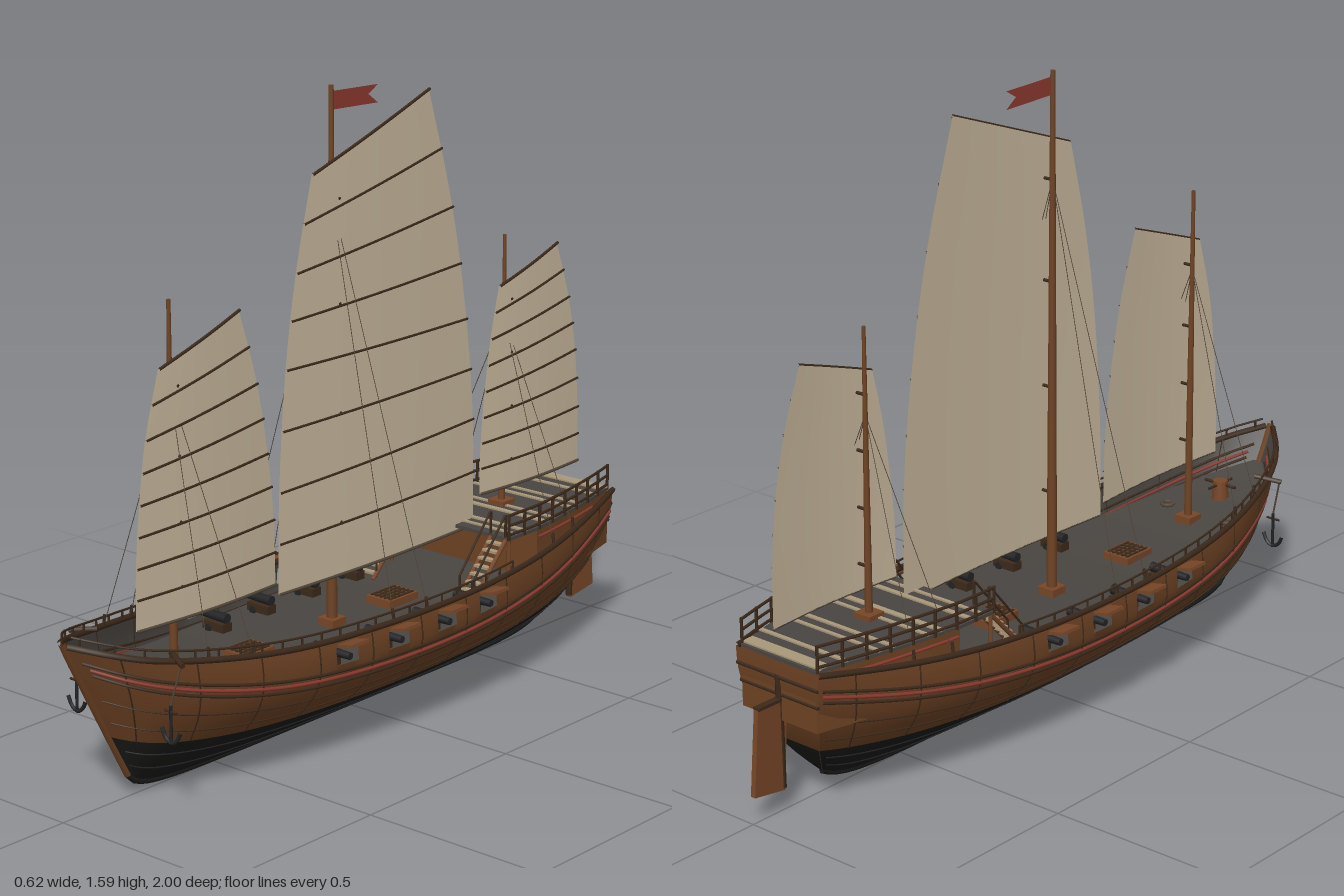
import * as THREE from 'three';

const mat = (name, color, side = THREE.FrontSide) => {
  const m = new THREE.MeshStandardMaterial({ color, side });
  m.name = name;
  return m;
};
const V = (x, y, z) => new THREE.Vector3(x, y, z);
const lerp = THREE.MathUtils.lerp;

// smooth interpolation of [x, y] pairs
function curveAt(pts, x) {
  let i = 0;
  while (i < pts.length - 2 && x > pts[i + 1][0]) i++;
  const p = k => pts[Math.min(Math.max(k, 0), pts.length - 1)];
  const slope = k => (p(k + 1)[1] - p(k - 1)[1]) / (p(k + 1)[0] - p(k - 1)[0]);
  const h = p(i + 1)[0] - p(i)[0], t = (x - p(i)[0]) / h, t2 = t * t, t3 = t2 * t;
  return (2 * t3 - 3 * t2 + 1) * p(i)[1] + (t3 - 2 * t2 + t) * h * slope(i)
    + (3 * t2 - 2 * t3) * p(i + 1)[1] + (t3 - t2) * h * slope(i + 1);
}

// hull lines: u runs from -1 (stern) to 1 (bow)
const SHEER = [[-0.91, 0.385], [-0.65, 0.35], [-0.4, 0.33], [0, 0.32], [0.4, 0.326], [0.65, 0.35], [0.85, 0.385], [0.99, 0.43]];
const BEAM = [[-0.91, 0.135], [-0.8, 0.168], [-0.6, 0.217], [-0.4, 0.25], [-0.2, 0.268], [0, 0.27], [0.2, 0.26], [0.4, 0.24], [0.6, 0.205], [0.8, 0.143], [0.9, 0.088], [0.99, 0.006]];
const SECTION = [[0, 0.02], [0.13, 0.3], [0.3, 0.59], [0.47, 0.81], [0.63, 0.95], [0.8, 1], [1, 0.97]];
const zTop = u => 0.04 + 0.95 * u;
const uOf = z => (z - 0.04) / 0.95;
const sheer = u => curveAt(SHEER, zTop(u));
const beam = u => curveAt(BEAM, zTop(u));
const keel = u => 0.01 + 0.045 * u ** 6;
const water = u => 0.115 + 0.04 * u * u + (u > 0 ? 0.015 * u ** 6 : 0);
const deckY = u => sheer(u) - 0.085;
const band = u => sheer(u) - 0.1 + 0.045 * u * u;

function hullPoint(u, y, s = 1, out = 0) {
  const v = THREE.MathUtils.clamp((y - keel(u)) / (sheer(u) - keel(u)), 0, 1);
  const full = lerp(curveAt(SECTION, v), v, u > 0 ? 0.5 * u ** 4 : 0.25 * u ** 4);
  const rake = u > 0 ? -0.2 * (1 - v) : 0.14 * (1 - v) ** 2.2;
  return V(s * (beam(u) * full + out), y, zTop(u) + rake * u ** 4);
}

// surface over a grid of points, with an optional rule for gaps
function surface(us, rows, fn, flip, skip = () => false) {
  const pos = [], idx = [], n = rows + 1;
  us.forEach(u => { for (let j = 0; j <= rows; j++) pos.push(...fn(u, j).toArray()); });
  for (let i = 0; i < us.length - 1; i++) for (let j = 0; j < rows; j++) {
    if (skip((us[i] + us[i + 1]) / 2, j)) continue;
    const a = i * n + j, b = a + 1, c = a + n, d = c + 1;
    idx.push(...(flip ? [a, c, b, b, c, d] : [a, b, c, b, d, c]));
  }
  const g = new THREE.BufferGeometry();
  g.setAttribute('position', new THREE.Float32BufferAttribute(pos, 3));
  g.setIndex(idx);
  g.computeVertexNormals();
  return g;
}

export function createModel() {
  const D = THREE.DoubleSide;
  const wood = mat('hull wood', 0x6f4324), dark = mat('dark wood', 0x3d2a1b), tar = mat('tarred bottom', 0x1c1b1a, D);
  const grey = mat('deck grey', 0x494541), tan = mat('plank tan', 0xa89779), cloth = mat('sail cloth', 0xcbbba0, D);
  const red = mat('red paint', 0x8f3a30, D), iron = mat('iron', 0x232426), light = mat('light wood', 0x784728), rope = mat('rope', 0x55483a);

  const root = new THREE.Group();
  root.name = 'sailingShip';
  const add = (name, geo, m) => {
    const o = new THREE.Mesh(geo, m);
    o.name = name;
    root.add(o);
    return o;
  };
  const box = (name, w, h, d, x, y, z, m) => {
    const o = add(name, new THREE.BoxGeometry(w, h, d), m);
    o.position.set(x, y, z);
    return o;
  };
  const rod = (name, a, b, r0, m, r1 = r0, sides = 6) => {
    const o = add(name, new THREE.CylinderGeometry(r1, r0, a.distanceTo(b), sides), m);
    o.position.copy(a).lerp(b, 0.5);
    o.quaternion.setFromUnitVectors(V(0, 1, 0), b.clone().sub(a).normalize());
  };
  const tube = (name, pts, r, m) => add(name, new THREE.TubeGeometry(new THREE.CatmullRomCurve3(pts), pts.length * 2, r, 5), m);
  const steps = (a, b, n) => Array.from({ length: n + 1 }, (_, i) => lerp(a, b, i / n));
  const line = (name, u0, u1, yFn, r, m, s, out = 0.001) =>
    tube(name, steps(u0, u1, 28).map(u => hullPoint(u, yFn(u), s, out)), r, m);

  // hull shell with open gun ports, lined in grey on the inside
  const ports = [-0.22, -0.055, 0.12, 0.295];
  const us = [...steps(-1, 1, 48), ...ports.flatMap(z => [uOf(z - 0.035), uOf(z + 0.035)])].sort((a, b) => a - b);
  const sideY = (u, j) => [water(u), lerp(water(u), sheer(u) - 0.065, 0.33), lerp(water(u), sheer(u) - 0.065, 0.67),
    sheer(u) - 0.065, sheer(u) - 0.022, sheer(u)][j];
  const lowY = (u, j) => lerp(keel(u), water(u), j / 7);
  const isPort = (u, j) => j === 3 && ports.some(z => Math.abs(zTop(u) - z) < 0.035);
  for (const s of [1, -1]) {
    const side = (u, j) => hullPoint(u, sideY(u, j), s);
    add('hullSide', surface(us, 5, side, s < 0, isPort), wood);
    add('hullLining', surface(us, 5, side, s > 0, isPort), grey);
    add('hullBottom', surface(us, 7, (u, j) => hullPoint(u, lowY(u, j), s), s < 0), tar);
    // wales, painted stripe and cap rail
    line('capRail', -1, 0.995, sheer, 0.008, dark, s);
    line('upperWale', -0.99, 0.98, u => band(u) + 0.015, 0.004, dark, s);
    line('redStripe', -0.99, 0.97, band, 0.0045, red, s);
    line('lowerWale', -0.99, 0.97, u => band(u) - 0.015, 0.004, dark, s);
    for (const k of [0.25, 0.6]) line('plankSeam', -0.99, 0.97, u => lerp(water(u), band(u) - 0.015, k), 0.002, dark, s);
    for (const k of [0.35, 0.7]) line('bottomSeam', -0.98, 0.95, u => lerp(keel(u), water(u), k), 0.002, iron, s);
    for (const u of steps(-0.9, 0.9, 10))
      tube('frameSeam', steps(water(u), sheer(u), 6).map(y => hullPoint(u, y, s)), 0.002, dark);
    // light rail above the bulwark
    line('bulwarkRail', -0.4, 0.985, u => sheer(u) + 0.024, 0.003, dark, s, -0.004);
    for (const u of steps(-0.4, 0.97, 22)) {
      const p = hullPoint(u, sheer(u), s, -0.003);
      rod('railPost', p, V(p.x, p.y + 0.025, p.z), 0.003, dark);
    }
  }
  // transom, keel, stem and main deck
  add('transom', surface([-1, 1], 12, (s, j) => hullPoint(-1, lerp(keel(-1), sheer(-1), j / 12), s), false), wood);
  add('transomBottom', surface([-1, 1], 4, (s, j) => hullPoint(-1, lerp(keel(-1), water(-1), j / 4), s).add(V(0, 0, -0.002)), false), tar);
  tube('keel', steps(-1, 1, 30).map(u => V(0, keel(u), hullPoint(u, keel(u)).z)), 0.009, tar);
  tube('stem', steps(keel(1), 0.435, 8).map(y => V(0, y, hullPoint(1, y).z)), 0.009, wood);
  for (const y of [0.3, 0.345]) rod('transomBeam', hullPoint(-1, y, 1), hullPoint(-1, y, -1), 0.005, dark);
  add('mainDeck', surface(steps(-1, 0.99, 40), 1, (u, j) => hullPoint(u, deckY(u), j ? 1 : -1), true), grey);

  // guns with carriages and raised port lids
  for (const z of ports) for (const s of [1, -1]) {
    const u = uOf(z), x = hullPoint(u, sheer(u)).x, y = sheer(u) - 0.047;
    rod('gunBarrel', V(s * (x - 0.1), y, z), V(s * (x + 0.015), y, z), 0.013, iron, 0.009, 10);
    box('gunCarriage', 0.07, 0.022, 0.032, s * (x - 0.065), y - 0.024, z, dark);
    for (const d of [-0.017, 0.017])
      rod('gunWheel', V(s * (x - 0.05), y - 0.03, z + d - 0.003), V(s * (x - 0.05), y - 0.03, z + d + 0.003), 0.01, iron, 0.01, 8);
    box('portLid', 0.046, 0.008, 0.062, s * (x + 0.024), sheer(u) - 0.012, z, light).rotation.z = s * 0.2;
  }

  // stern house, with its deck reaching forward over an open porch
  const plan = [[-0.38, 0.2], [-0.5, 0.198], [-0.6, 0.185], [-0.7, 0.168], [-0.8, 0.147], [-0.905, 0.12]];
  const planX = z => curveAt(plan.map(([a, b]) => [-a, b]), -z);
  const slab = (name, pts, y0, h, m) => {
    const outline = new THREE.Shape([...pts.map(([z, x]) => new THREE.Vector2(x, -z)),
      ...pts.slice().reverse().map(([z, x]) => new THREE.Vector2(-x, -z))]);
    const g = new THREE.ExtrudeGeometry(outline, { depth: h, bevelEnabled: false });
    add(name, g.rotateX(-Math.PI / 2), m).position.y = y0;
  };
  slab('sternHouse', plan.slice(1), 0.235, 0.15, wood);
  slab('sternDeck', plan, 0.383, 0.009, grey);
  for (const [z, d] of [[-0.415, 0.01], [-0.455, 0.014], [-0.55, 0.016], [-0.59, 0.01], [-0.69, 0.012], [-0.73, 0.01], [-0.82, 0.012], [-0.88, 0.035]])
    box('deckPlank', planX(z) * 1.96, 0.006, d, 0, 0.393, z, tan);
  for (const s of [1, -1]) {
    const zs = steps(-0.38, -0.9, 8);
    for (const y of [0.4, 0.425, 0.452]) tube('sternRail', zs.map(z => V(s * planX(z), y, z)), 0.004, dark);
    for (const z of zs) rod('sternRailPost', V(s * planX(z), 0.385, z), V(s * planX(z), 0.455, z), 0.004, dark);
    tube('houseStripe', steps(-0.505, -0.8, 6).map(z => V(s * planX(z), 0.365, z)), 0.004, red);
    rod('porchPost', V(s * 0.195, 0.24, -0.387), V(s * 0.195, 0.385, -0.387), 0.005, light);
    // stairs with handrails
    for (let i = 0; i < 8; i++) box('stairTread', 0.044, 0.006, 0.017, s * 0.163, 0.255 + i * 0.017, -0.255 - i * 0.0165, tan);
    for (const x of [0.139, 0.187]) {
      rod('stairStringer', V(s * x, 0.24, -0.245), V(s * x, 0.385, -0.385), 0.006, light);
      rod('stairHandrail', V(s * x, 0.31, -0.26), V(s * x, 0.45, -0.38), 0.003, dark);
      rod('stairPost', V(s * x, 0.245, -0.26), V(s * x, 0.31, -0.26), 0.003, dark);
      rod('stairTopPost', V(s * x, 0.385, -0.383), V(s * x, 0.45, -0.383), 0.0035, dark);
    }
  }

  // rudder
  const blade = new THREE.Shape([[0.885, 0.285], [0.98, 0.285], [0.998, 0.07], [0.9, 0.055]].map(p => new THREE.Vector2(...p)));
  const rudder = add('rudder', new THREE.ExtrudeGeometry(blade, { depth: 0.014, bevelEnabled: false }), light);
  rudder.rotation.y = Math.PI / 2;
  rudder.position.x = -0.007;
  rod('rudderPost', V(0, 0.06, -0.9), V(0, 0.35, -0.905), 0.009, dark);
  box('rudderCap', 0.018, 0.008, 0.095, 0, 0.287, -0.932, dark);

  // masts, slightly bellied sails and shrouds
  const rigs = [
    { name: 'main', z: 0.07, foot: 0.235, top: 1.59, r: 0.014, hound: 1.32, spread: 0.06,
      luff: [[0.29, 0.375], [0.285, 0.63], [0.26, 0.93], [0.222, 1.16], [0.165, 1.39]],
      leech: [[-0.455, 0.375], [-0.45, 0.66], [-0.42, 0.93], [-0.36, 1.23], [-0.265, 1.54]] },
    { name: 'fore', z: 0.63, foot: 0.26, top: 1.17, r: 0.011, hound: 0.96, spread: 0.06,
      luff: [[0.775, 0.41], [0.772, 0.56], [0.758, 0.71], [0.735, 0.86], [0.69, 1.02]],
      leech: [[0.3, 0.405], [0.305, 0.57], [0.325, 0.74], [0.36, 0.92], [0.42, 1.11]] },
    { name: 'mizzen', z: -0.6, foot: 0.385, top: 1.115, r: 0.01, hound: 0.9, spread: 0.055,
      luff: [[-0.48, 0.45], [-0.483, 0.585], [-0.497, 0.72], [-0.518, 0.855], [-0.55, 0.99]],
      leech: [[-0.895, 0.45], [-0.893, 0.6], [-0.877, 0.76], [-0.845, 0.91], [-0.79, 1.065]] },
  ];
  const battens = 8;
  for (const k of rigs) {
    rod(k.name + 'Mast', V(0, k.foot, k.z), V(0, k.top, k.z), k.r, wood, k.r * 0.45, 10);
    box(k.name + 'MastStep', 0.05, 0.02, 0.05, 0, k.foot + 0.01, k.z, light);
    const edge = pts => new THREE.CatmullRomCurve3(pts.map(([z, y]) => V(0.022, y, z)));
    const luff = edge(k.luff), leech = edge(k.leech);
    const sailPoint = (t, f, out = 0) => leech.getPoint(t).lerp(luff.getPoint(t), f)
      .add(V(0.012 * Math.sin(Math.PI * f) * (1 - 0.6 * t) + out, 0, 0));
    add(k.name + 'Sail', surface(steps(0, 1, 16), 8, (t, j) => sailPoint(t, j / 8), true), cloth);
    for (let i = 0; i <= battens; i++) {
      const t = i / battens, end = i === 0 || i === battens, p = sailPoint(t, 0.6);
      tube(k.name + (end ? 'Yard' : 'Batten'), steps(0, 1, 8).map(f => sailPoint(t, f, 0.0035)), end ? 0.004 : 0.0032, i ? dark : rope);
      if (!end && i % 2) rod('parrel', V(0, p.y, k.z), V(p.x, p.y, k.z), 0.004, dark);
    }
    for (const s of [1, -1]) for (const d of [-1, 1]) {
      const u = uOf(k.z + d * k.spread), p = hullPoint(u, sheer(u), s, -0.003);
      rod('shroud', p, V(0, k.hound, k.z), 0.0012, rope, 0.0012, 4);
      rod('deadeye', p, V(p.x * 0.98, p.y + 0.03, p.z), 0.004, dark);
    }
  }
  // swallowtail flag
  const flag = new THREE.Shape([[-0.07, 1.575], [0.1, 1.57], [0.065, 1.55], [0.1, 1.525], [-0.07, 1.53]].map(p => new THREE.Vector2(...p)));
  add('flag', new THREE.ShapeGeometry(flag), red).rotation.y = Math.PI / 2;

  // hatches with gratings
  for (const [z, d] of [[0.375, 0.1], [-0.16, 0.11]]) {
    box('hatch', 0.08, 0.022, d, 0, 0.246, z, light);
    for (const x of steps(-0.03, 0.03, 4)) box('hatchBar', 0.006, 0.004, d * 0.85, x, 0.258, z, dark);
    for (const f of steps(-0.35, 0.35, 4)) box('hatchBar', 0.066, 0.004, 0.006, 0, 0.258, z + f * d, dark);
  }
  // capstan with bars
  rod('capstan', V(0, 0.28, 0.77), V(0, 0.335, 0.77), 0.024, light, 0.02, 10);
  for (const [x, z] of [[0.05, 0], [0, 0.05]]) rod('capstanBar', V(-x, 0.325, 0.77 - z), V(x, 0.325, 0.77 + z), 0.004, dark);
  // catheads with hanging anchors, and rope coils
  for (const s of [1, -1]) {
    rod('cathead', V(s * 0.12, 0.38, 0.76), V(s * 0.185, 0.37, 0.79), 0.007, dark);
    const x = s * 0.155, z = 0.8;
    rod('anchorCable', V(s * 0.18, 0.37, 0.79), V(x, 0.27, z), 0.0025, rope);
    rod('anchorShank', V(x, 0.27, z), V(x, 0.18, z), 0.004, iron);
    rod('anchorStock', V(x - 0.02, 0.255, z), V(x + 0.02, 0.255, z), 0.003, dark);
    tube('anchorArms', [V(x - 0.03, 0.21, z), V(x - 0.018, 0.187, z), V(x, 0.178, z), V(x + 0.018, 0.187, z), V(x + 0.03, 0.21, z)], 0.005, iron);
    const coil = add('ropeCoil', new THREE.TorusGeometry(0.016, 0.005, 6, 14), rope);
    coil.rotation.x = Math.PI / 2;
    coil.position.set(s * 0.1, deckY(uOf(0.67)) + 0.005, 0.67);
  }
  return root;
}
